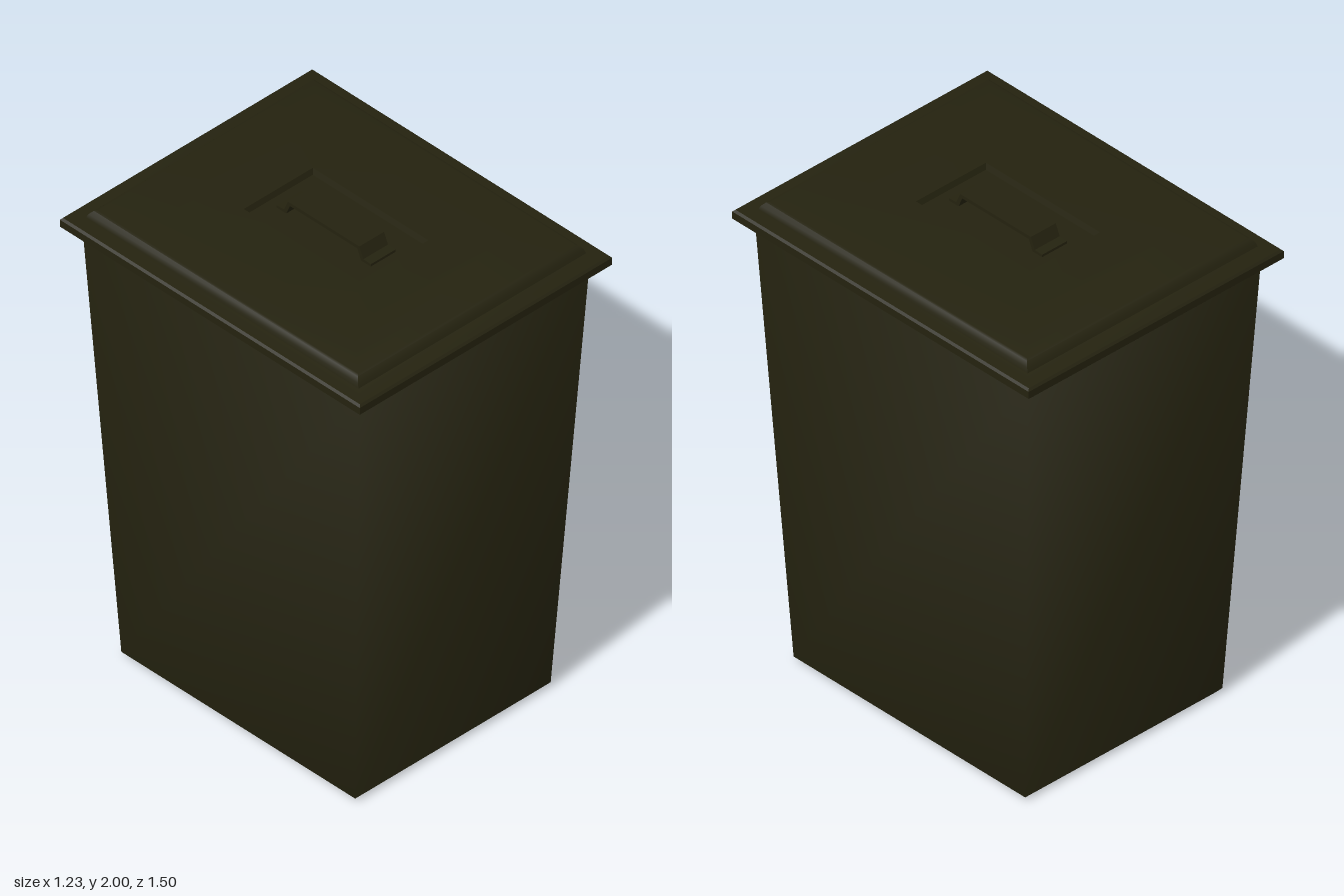
import * as THREE from 'three';
import { toCreasedNormals } from 'three/addons/utils/BufferGeometryUtils.js';

// Closed solid through rectangular rings [halfWidth, y, halfDepth], listed along the surface
function loftRectangles(rings) {
  const corners = [[1, 1], [1, -1], [-1, -1], [-1, 1]];
  const positions = [];
  const index = [];
  for (const [hx, y, hz] of rings) {
    for (const [sx, sz] of corners) positions.push(sx * hx, y, sz * hz);
  }
  for (let r = 0; r < rings.length - 1; r++) {
    for (let i = 0; i < 4; i++) {
      const j = (i + 1) % 4;
      const a = r * 4 + i, b = r * 4 + j, c = b + 4, d = a + 4;
      index.push(a, b, c, a, c, d);
    }
  }
  const t = (rings.length - 1) * 4;
  index.push(0, 2, 1, 0, 3, 2, t, t + 1, t + 2, t, t + 2, t + 3);
  const geometry = new THREE.BufferGeometry();
  geometry.setAttribute('position', new THREE.Float32BufferAttribute(positions, 3));
  geometry.setIndex(index);
  geometry.computeVertexNormals();
  return geometry;
}

export function createModel() {
  const group = new THREE.Group();
  group.name = 'wasteBin';
  const olive = new THREE.MeshStandardMaterial({ color: 0x24220f });
  olive.name = 'dark olive plastic';

  const add = (name, geometry) => {
    const mesh = new THREE.Mesh(geometry, olive);
    mesh.name = name;
    group.add(mesh);
  };

  // Tapered body with a bevelled foot
  add('body', loftRectangles([
    [0.455, 0, 0.565],
    [0.475, 0.02, 0.583],
    [0.56, 1.875, 0.69],
  ]));

  // Lid: overhanging rim, raised border, shallow dome and handle recess
  add('lid', toCreasedNormals(loftRectangles([
    [0.56, 1.865, 0.69],
    [0.605, 1.865, 0.74],
    [0.613, 1.873, 0.748],
    [0.613, 1.903, 0.748],
    [0.605, 1.911, 0.74],
    [0.57, 1.915, 0.70],
    [0.553, 1.918, 0.68],
    [0.548, 1.935, 0.672],
    [0.535, 1.95, 0.658],
    [0.525, 1.953, 0.648],
    [0.35, 1.961, 0.45],
    [0.168, 1.965, 0.288],
    [0.16, 1.943, 0.28],
  ]), 0.6));

  // Strap handle: side profile swept across the width, with flat feet in the recess
  const outline = [
    [-0.235, 1.942], [-0.235, 1.953], [-0.198, 1.955], [-0.178, 2.0],
    [0.178, 2.0], [0.198, 1.955], [0.235, 1.953], [0.235, 1.942],
    [0.187, 1.942], [0.168, 1.986], [-0.168, 1.986], [-0.187, 1.942],
  ];
  const profile = new THREE.Shape(outline.map(([z, y]) => new THREE.Vector2(z, y)));
  const handle = new THREE.ExtrudeGeometry(profile, { depth: 0.12, bevelEnabled: false });
  handle.translate(0, 0, -0.06);
  handle.rotateY(Math.PI / 2);
  add('handle', handle);

  return group;
}
